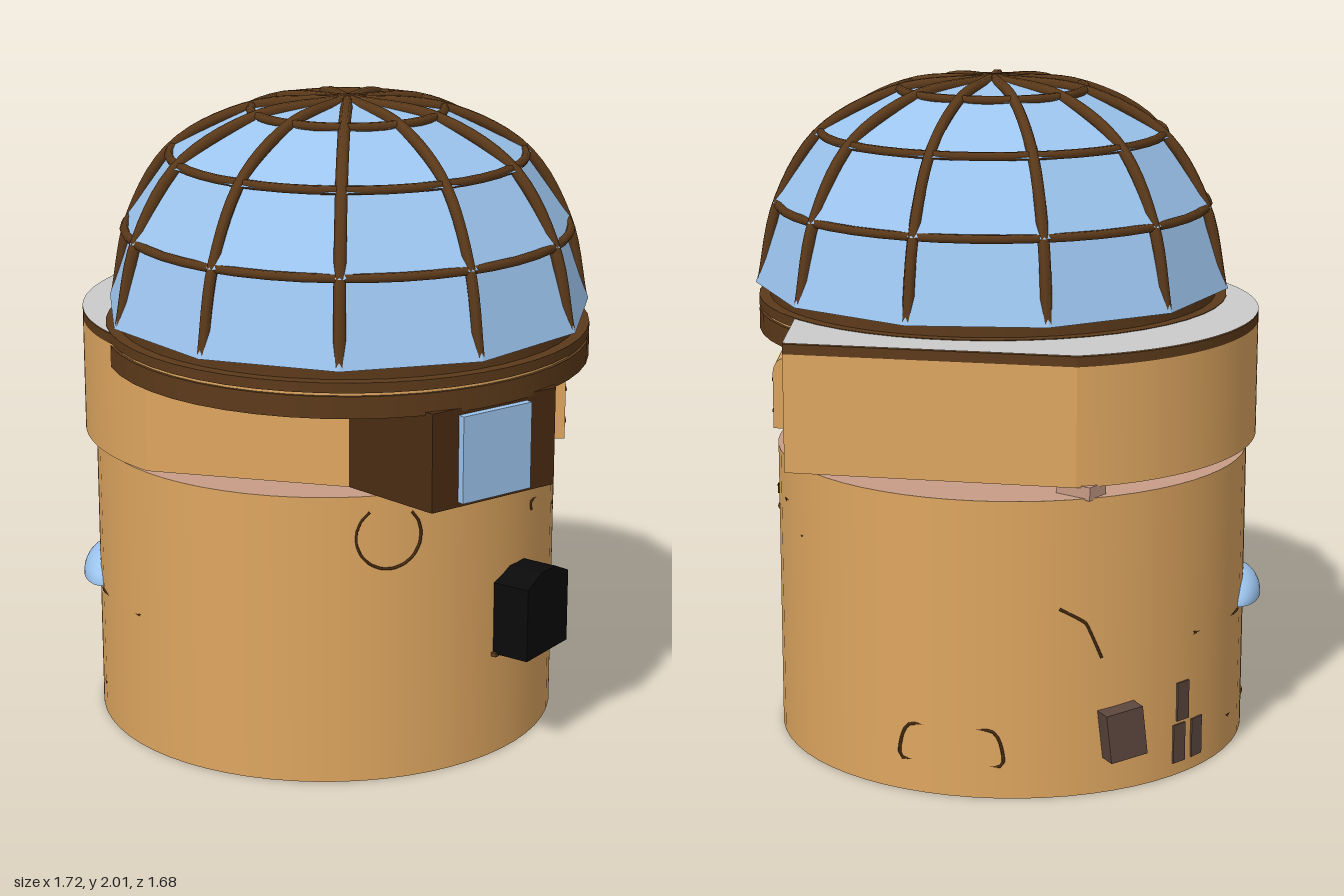
import * as THREE from 'three';
import { toCreasedNormals } from 'three/addons/utils/BufferGeometryUtils.js';

const mat = (color, extra = {}) => new THREE.MeshStandardMaterial({ color, ...extra });
const TAN = mat(0xdea660), BROWN = mat(0x5c3a1a), DARK = mat(0x4a2c12), BLACK = mat(0x0a0a0a);
const BLUE = mat(0x9cc4ee, { side: THREE.DoubleSide, flatShading: true });
const GLASS = mat(0x9cc4ee), PINK = mat(0xc79c86), EARTH = mat(0x5b463d), GREY = mat(0xcccccc, { side: THREE.DoubleSide });

const TOWER = { x: 0.035, z: -0.107, r: 0.725 };
const DOME = { x: -0.115, z: 0.085 };
const SIDES = 11, TURN = Math.PI - 0.122;

export function createModel() {
  const model = new THREE.Group();

  const add = (name, geometry, material, x = 0, y = 0, z = 0, parent = model) => {
    const m = new THREE.Mesh(geometry, material);
    m.name = name;
    m.position.set(x, y, z);
    parent.add(m);
    return m;
  };
  // vertical prism from a plan outline in (x, z)
  const prism = (shape, bottom, top) => {
    const g = new THREE.ExtrudeGeometry(shape, { depth: top - bottom, bevelEnabled: false, curveSegments: 40 });
    return toCreasedNormals(g.rotateX(Math.PI / 2).translate(0, top, 0), 0.4);
  };
  const plan = pts => new THREE.Shape(pts.map(p => new THREE.Vector2(...p)));
  // set a mesh on the tower wall, facing outwards at angle a from the front
  const onTower = (m, a, y, r = TOWER.r) => {
    m.position.set(TOWER.x + r * Math.sin(a), y, TOWER.z + r * Math.cos(a));
    m.rotation.y = a;
    return m;
  };
  // thin line drawn on the tower wall; points are (distance along wall, height)
  const groove = (name, a, pts, closed = false, material = DARK) => {
    const path = new THREE.CatmullRomCurve3(pts.map(([s, y]) => {
      const t = a + s / TOWER.r;
      return new THREE.Vector3(TOWER.x + TOWER.r * Math.sin(t), y, TOWER.z + TOWER.r * Math.cos(t));
    }), closed, 'catmullrom', 0.2);
    add(name, new THREE.TubeGeometry(path, 40, 0.005, 4, closed), material);
  };

  // lower tower
  add('towerWall', new THREE.CylinderGeometry(TOWER.r, TOWER.r, 0.905, 64, 1, true), TAN, TOWER.x, 0.4525, TOWER.z);
  add('towerTop', new THREE.CircleGeometry(TOWER.r, 64).rotateX(-Math.PI / 2), PINK, TOWER.x, 0.905, TOWER.z);
  add('towerBase', new THREE.CircleGeometry(TOWER.r, 64).rotateX(Math.PI / 2), EARTH, TOWER.x, 0, TOWER.z);
  add('turntable', new THREE.CylinderGeometry(0.18, 0.38, 0.035, 48), PINK, TOWER.x, 0.92, TOWER.z);
  add('supportBlock', new THREE.BoxGeometry(0.08, 0.04, 0.12), PINK, 0.42, 0.92, -0.65);

  // projecting front window with a peaked top
  const win = plan([[-0.115, 0.33], [0.115, 0.33], [0.115, 0.56], [0.04, 0.595], [-0.04, 0.595], [-0.115, 0.56]]);
  add('frontWindow', new THREE.ExtrudeGeometry(win, { depth: 0.15, bevelEnabled: false }), BLACK, 0.035, 0, 0.58);
  add('frontSill', new THREE.BoxGeometry(0.25, 0.012, 0.05), BROWN, 0.035, 0.33, 0.6);

  // half-round rear window and its sill line
  const lens = new THREE.SphereGeometry(1, 28, 10, 0, Math.PI * 2, 0, Math.PI / 2).scale(0.18, 0.08, 0.08);
  onTower(add('rearWindow', lens, GLASS), Math.PI + 0.61, 0.42, 0.7);
  groove('rearSill', Math.PI + 0.61, [[-0.5, 0.43], [-0.2, 0.415], [0.2, 0.415], [0.5, 0.43]]);

  // rear box and small wall panels
  const box = onTower(add('rearBox', new THREE.BoxGeometry(0.12, 0.15, 0.08), EARTH), 2.67, 0.19, 0.74);
  box.rotation.z = 0.12;
  [[2.98, 0.1], [3.09, 0.1], [3.0, 0.23]].forEach(([a, y]) =>
    onTower(add('wallPanel', new THREE.BoxGeometry(0.05, 0.12, 0.02), EARTH), a, y, 0.72));

  // outlines and lines on the tower wall
  groove('hatchOutline', 1.97, [[-0.15, 0.1], [-0.15, 0.17], [-0.12, 0.21], [0.12, 0.21], [0.15, 0.17], [0.15, 0.1]], true);
  groove('roundOutline', -0.68, Array.from({ length: 14 }, (_, i) => {
    const t = 2.2 + i / 13 * 4.9;
    return [0.1 * Math.cos(t), 0.775 + 0.1 * Math.sin(t)];
  }));
  groove('upperLine', 0.25, [[-0.1, 0.74], [-0.1, 0.77], [0.13, 0.77]]);
  groove('upperLine', 0.9, [[-0.12, 0.74], [-0.12, 0.77], [0.08, 0.77]]);
  groove('lowerLine', 0.7, [[-0.22, 0.69], [0, 0.69], [0.35, 0.69]], false, BROWN);
  groove('arcOutline', 2.55, [[-0.1, 0.58], [-0.02, 0.53], [0.03, 0.42]]);
  groove('footLine', 3.7, [[-0.25, 0.1], [0, 0.1], [0.25, 0.1]]);

  // upper storey: round back, straight sides and one sharp corner
  const storey = new THREE.Shape();
  storey.absarc(0, -0.1, 0.74, -3.0, -0.88, false);
  [[0.86, 0.1], [0.06, 0.67], [-0.5, 0.38]].forEach(p => storey.lineTo(...p));
  storey.closePath();
  add('upperStorey', prism(storey, 0.935, 1.29), TAN);
  add('upperFloor', new THREE.ShapeGeometry(storey, 40).rotateX(Math.PI / 2), EARTH, 0, 0.933, 0);
  add('roofTrim', prism(storey, 1.29, 1.32), BROWN);
  add('roof', new THREE.ShapeGeometry(storey, 40).rotateX(Math.PI / 2), GREY, 0, 1.323, 0);

  // front bay with its window
  add('bay', prism(plan([[0.06, 0.67], [-0.13, 0.84], [-0.56, 0.7], [-0.5, 0.35], [0, 0.5]]), 0.935, 1.23), DARK);
  add('bayWindow', new THREE.BoxGeometry(0.25, 0.26, 0.05), GLASS, -0.35, 1.08, 0.765).rotation.y = -0.315;

  // rounded cabinet on the front wall
  const side = new THREE.Shape();
  side.moveTo(0, 0);
  side.lineTo(0.14, 0);
  side.lineTo(0.14, 0.17);
  side.quadraticCurveTo(0.14, 0.225, 0.09, 0.225);
  side.lineTo(0, 0.225);
  const cabinet = new THREE.ExtrudeGeometry(side, { depth: 0.28, bevelEnabled: false })
    .translate(0, 0, -0.14).rotateY(-Math.PI / 2);
  const wallTurn = Math.atan2(0.57, 0.8);
  add('wallCabinet', toCreasedNormals(cabinet, 0.5), TAN, 0.3, 0.935, 0.44).rotation.y = wallTurn;
  for (const y of [0.05, 0.15]) {
    const strap = add('cabinetStrap', new THREE.BoxGeometry(0.24, 0.008, 0.01), BROWN, 0.3, 0.935 + y, 0.44);
    strap.rotation.y = wallTurn;
    strap.translateZ(0.14);
  }

  // dome, built around its own axis
  const dome = new THREE.Group();
  dome.name = 'dome';
  dome.position.set(DOME.x, 0, DOME.z);
  model.add(dome);
  const disc = (name, r, bottom, top, material) =>
    add(name, new THREE.CylinderGeometry(r, r, top - bottom, 48), material, 0, (bottom + top) / 2, 0, dome);
  disc('domeRim', 0.735, 1.22, 1.285, BROWN);
  disc('domeRimBand', 0.725, 1.285, 1.295, TAN);
  disc('domeRimTop', 0.735, 1.295, 1.325, BROWN);
  disc('domeCurb', 0.7, 1.325, 1.365, BROWN);

  // overlapping tiers of flat panes: bottom height, bottom radius, top height, top radius
  [[1.36, 0.745, 1.61, 0.655], [1.61, 0.69, 1.83, 0.53], [1.825, 0.56, 1.96, 0.29], [1.955, 0.31, 1.995, 0.03]]
    .forEach(([y0, r0, y1, r1]) =>
      add('domePanes', new THREE.CylinderGeometry(r1, r0, y1 - y0, SIDES, 1, true, TURN), BLUE, 0, (y0 + y1) / 2, 0, dome));

  // ring bars
  [[0.672, 1.61], [0.535, 1.83], [0.29, 1.962]].forEach(([r, y]) =>
    add('domeRing', new THREE.TorusGeometry(r, 0.014, 6, SIDES * 4).rotateX(Math.PI / 2), BROWN, 0, y, 0, dome));

  // ribs
  const rib = new THREE.CatmullRomCurve3([[0.725, 1.36], [0.672, 1.61], [0.54, 1.83], [0.295, 1.96], [0, 1.99]]
    .map(([r, y]) => new THREE.Vector3(0, y, r)));
  const ribGeometry = new THREE.TubeGeometry(rib, 24, 0.018, 6);
  for (let i = 0; i < SIDES; i++)
    add('domeRib', ribGeometry, BROWN, 0, 0, 0, dome).rotation.y = TURN + i * Math.PI * 2 / SIDES;
  disc('domeHub', 0.045, 1.975, 2.0, BROWN);

  return model;
}
